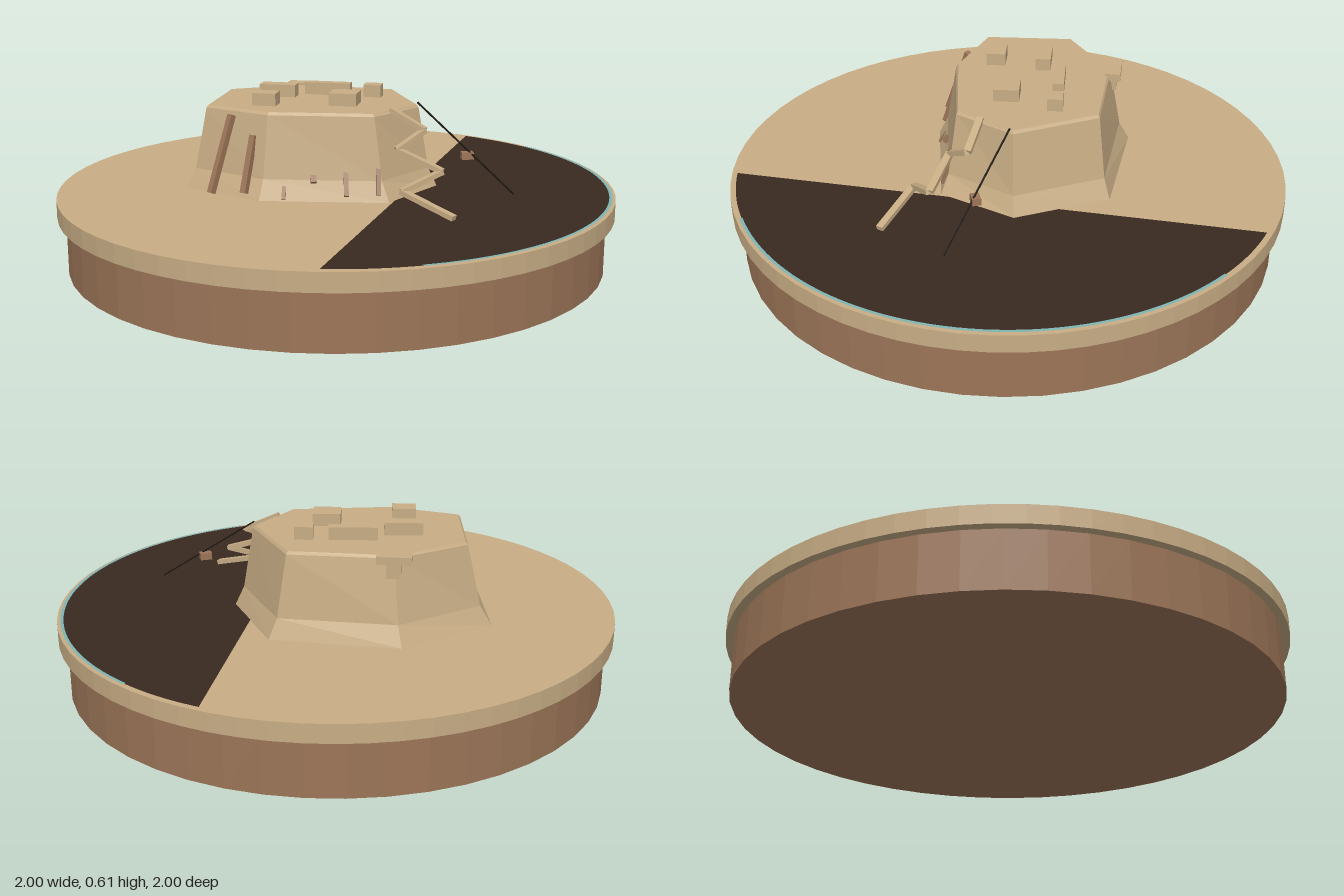
import * as THREE from 'three';

const mat = (name, color, extra = {}) => {
  const m = new THREE.MeshStandardMaterial({ color, ...extra });
  m.name = name;
  return m;
};

export function createModel() {
  const sand = mat('sand', 0xc8ad85, { flatShading: true });
  const brown = mat('brown', 0x9c7558, { flatShading: true });
  const dark = mat('darkEarth', 0x3a2a20);
  const cableDark = mat('cableDark', 0x1f1711);
  const water = mat('water', 0x7fb5b5);

  const group = new THREE.Group();
  const add = (name, geometry, material, x = 0, y = 0, z = 0, turn = 0) => {
    const mesh = new THREE.Mesh(geometry, material);
    mesh.name = name;
    mesh.position.set(x, y, z);
    mesh.rotation.y = turn;
    group.add(mesh);
    return mesh;
  };
  // Straight bar between two points
  const beam = (name, a, b, w, h, material) => {
    const from = new THREE.Vector3(...a), to = new THREE.Vector3(...b);
    const mid = from.clone().lerp(to, 0.5);
    const mesh = add(name, new THREE.BoxGeometry(w, h, from.distanceTo(to)), material, mid.x, mid.y, mid.z);
    mesh.lookAt(to);
  };

  // Round plinth and ground disc
  add('plinth', new THREE.CylinderGeometry(0.97, 0.97, 0.2, 48), brown, 0, 0.1, 0);
  add('groundDisc', new THREE.CylinderGeometry(1, 1, 0.065, 64), sand, 0, 0.2325, 0);

  // Dark lowland: the part of the disc beyond a straight chord
  const deg = Math.PI / 180;
  const lowland = new THREE.Shape();
  lowland.absarc(0, 0, 0.98, -99.9 * deg, 48.4 * deg, false);
  lowland.closePath();
  add('lowland', new THREE.ShapeGeometry(lowland, 48).rotateX(-Math.PI / 2), dark, 0, 0.267, 0);

  // Thin strip of water along the rim
  const strip = new THREE.RingGeometry(0.977, 0.988, 48, 1, -82 * deg, 113 * deg);
  add('waterEdge', strip.rotateX(-Math.PI / 2), water, 0, 0.269, 0);

  // Seven-sided mesa: flared foot, sloping wall, small bevel, flat top
  const foot = [[-0.08, -0.49], [0.325, -0.285], [0.36, 0.07], [0.15, 0.28], [-0.295, 0.195], [-0.545, -0.02], [-0.45, -0.385]];
  const crown = [[-0.08, -0.405], [0.25, -0.26], [0.288, 0.055], [0.105, 0.207], [-0.255, 0.13], [-0.46, -0.035], [-0.365, -0.34]];
  const levels = [[0.265, 0], [0.335, 0.45], [0.555, 0.96], [0.565, 1.06]];
  const rings = levels.map(([y, t]) => foot.map(([x, z], i) =>
    [x + (crown[i][0] - x) * t, y, z + (crown[i][1] - z) * t]));
  const pos = [];
  foot.forEach((_, i) => {
    const j = (i + 1) % foot.length;
    for (let k = 0; k < rings.length - 1; k++) {
      const a = rings[k][i], b = rings[k][j], c = rings[k + 1][j], d = rings[k + 1][i];
      pos.push(...a, ...d, ...c, ...a, ...c, ...b);
    }
    const top = rings[rings.length - 1];
    pos.push(-0.08, 0.565, -0.09, ...top[j], ...top[i]);
  });
  const mesa = new THREE.BufferGeometry();
  mesa.setAttribute('position', new THREE.Float32BufferAttribute(pos, 3));
  mesa.computeVertexNormals();
  add('mesa', mesa, sand);

  // Buildings on the plateau: x, z, width, depth
  [[-0.19, -0.185, 0.135, 0.055], [-0.005, -0.19, 0.17, 0.04], [0.155, -0.13, 0.065, 0.055],
    [-0.25, -0.02, 0.085, 0.07], [0.03, 0.01, 0.1, 0.09]].forEach(([x, z, w, d]) => {
    add('building', new THREE.BoxGeometry(w, 0.05, d), sand, x, 0.585, z, -0.33);
  });

  // Overhanging turret at the back
  add('turretSlab', new THREE.BoxGeometry(0.12, 0.027, 0.055), sand, -0.075, 0.559, -0.418, -0.38);
  add('turretBracket', new THREE.BoxGeometry(0.05, 0.055, 0.035), sand, -0.075, 0.52, -0.412, -0.38);

  // Poles leaning on the left-hand wall
  beam('leaningPole', [-0.458, 0.28, 0.125], [-0.378, 0.545, 0.06], 0.022, 0.022, brown);
  beam('leaningPole', [-0.345, 0.285, 0.16], [-0.305, 0.48, 0.11], 0.022, 0.022, brown);

  // Small posts half sunk in the front wall
  beam('wallPost', [-0.21, 0.27, 0.21], [-0.205, 0.31, 0.185], 0.014, 0.014, brown);
  beam('wallPost', [-0.105, 0.33, 0.215], [-0.105, 0.35, 0.2], 0.02, 0.014, brown);
  beam('wallPost', [0.005, 0.285, 0.25], [0.008, 0.37, 0.205], 0.016, 0.016, brown);
  beam('wallPost', [0.115, 0.29, 0.265], [0.12, 0.39, 0.225], 0.016, 0.016, brown);

  // Zigzag stair down the front corner
  const path = [[0.175, 0.567, 0.14], [0.285, 0.505, 0.21], [0.18, 0.447, 0.25],
    [0.32, 0.39, 0.35], [0.175, 0.332, 0.378], [0.325, 0.275, 0.525]];
  path.slice(1).forEach((p, i) => beam('zigzagStair', path[i], p, 0.025, 0.017, sand));

  // Hoist cable with hanging basket
  beam('hoistCable', [0.285, 0.575, 0.065], [0.57, 0.303, 0.355], 0.005, 0.005, cableDark);
  add('hoistBasket', new THREE.BoxGeometry(0.042, 0.025, 0.03), brown, 0.435, 0.412, 0.218);

  return group;
}
